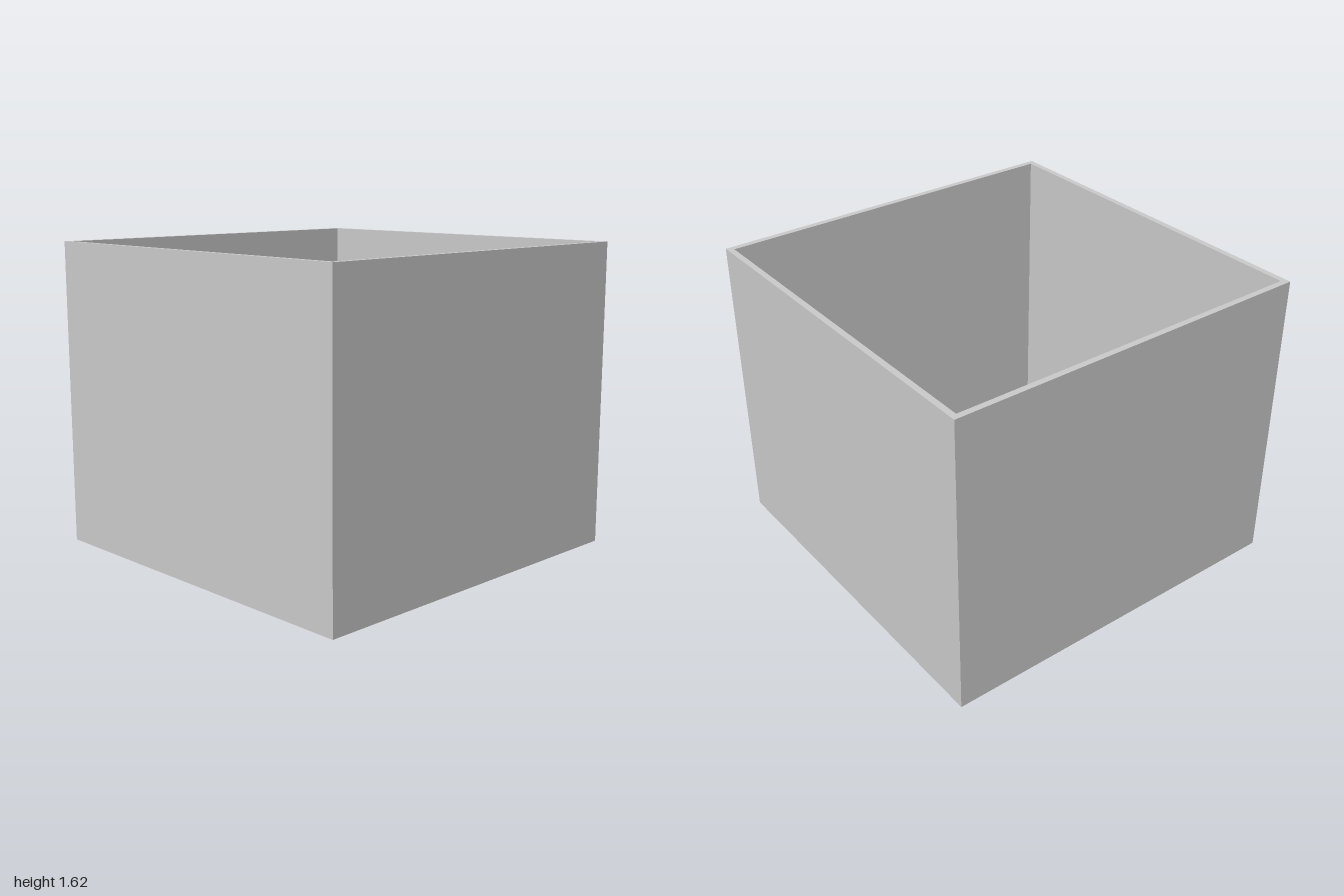
import * as THREE from 'three';

const SIZE = 2, HEIGHT = 1.62, WALL = 0.032, FLOOR = 0.05;

// Centred square outline
function square(size, Type = THREE.Shape) {
  const h = size / 2;
  return new Type([[-h, -h], [h, -h], [h, h], [-h, h]].map(([x, y]) => new THREE.Vector2(x, y)));
}

// Plan outline (x, -z) raised to a height
function raise(name, shape, height, material) {
  const geometry = new THREE.ExtrudeGeometry(shape, { depth: height, bevelEnabled: false, curveSegments: 16 });
  geometry.rotateX(-Math.PI / 2);
  const mesh = new THREE.Mesh(geometry, material);
  mesh.name = name;
  return mesh;
}

export function createModel() {
  const material = new THREE.MeshStandardMaterial({ color: 0xcccccc, flatShading: true });
  const group = new THREE.Group();
  group.name = 'openBox';

  // Four thin walls as one square tube
  const wallShape = square(SIZE);
  wallShape.holes.push(square(SIZE - 2 * WALL, THREE.Path));
  group.add(raise('walls', wallShape, HEIGHT, material));

  // Floor inside the walls, with a round drain hole near the front left corner
  const floorShape = square(SIZE - 2 * WALL);
  const drain = new THREE.Path();
  drain.absarc(0.595, -0.655, 0.15, 0, Math.PI * 2, true);
  floorShape.holes.push(drain);
  group.add(raise('floor', floorShape, FLOOR, material));

  return group;
}
